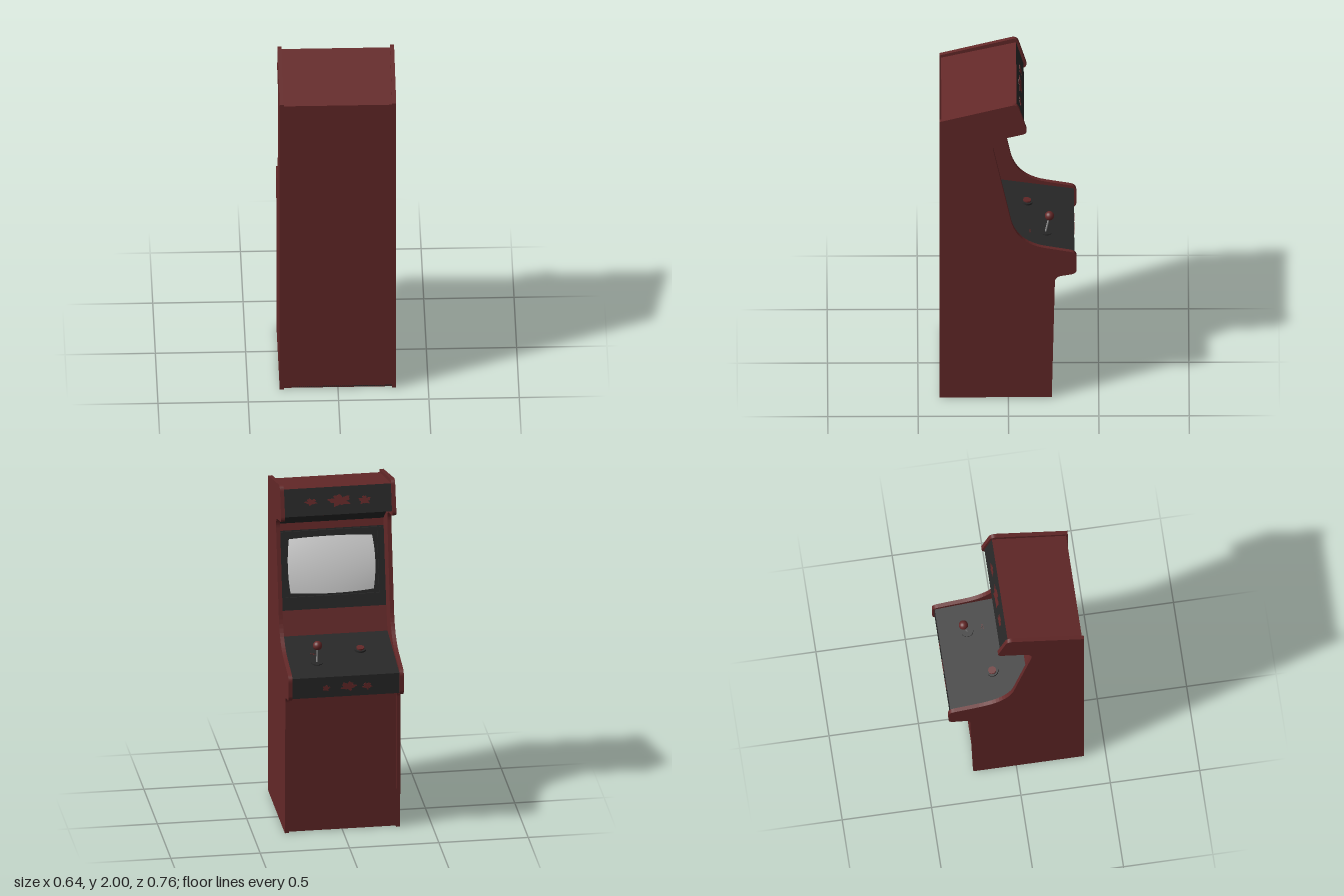
import * as THREE from 'three';

const paint = (name, color) => Object.assign(new THREE.MeshStandardMaterial({ color }), { name });

export function createModel() {
  const red = paint('dark red', 0x642828);
  const black = paint('charcoal', 0x282828);
  const glass = paint('pale glass', 0xdedede);
  const steel = paint('steel', 0x9a9a9a);
  const root = new THREE.Group();
  root.name = 'arcadeCabinet';

  const add = (parent, name, geometry, material) => {
    const mesh = new THREE.Mesh(geometry, material);
    mesh.name = name;
    parent.add(mesh);
    return mesh;
  };

  // Side boards: outline as [z, y, corner radius]
  const outline = [
    [0.38, 0, 0], [0.38, 1.89, 0], [-0.05, 2.009, 0.035], [-0.108, 1.81, 0.03],
    [0.096, 1.755, 0.06], [-0.045, 1.054, 0.165], [-0.378, 0.99, 0.035],
    [-0.378, 0.848, 0.03], [-0.258, 0.825, 0.035], [-0.24, 0, 0],
  ];
  const side = new THREE.Shape();
  outline.forEach(([z, y, r], i) => {
    const c = new THREE.Vector2(z, y);
    const toward = (p) => new THREE.Vector2(p[0], p[1]).sub(c).setLength(r).add(c);
    const n = outline.length;
    const a = toward(outline[(i + n - 1) % n]);
    const b = toward(outline[(i + 1) % n]);
    if (i === 0) side.moveTo(a.x, a.y);
    else side.lineTo(a.x, a.y);
    if (r) side.quadraticCurveTo(c.x, c.y, b.x, b.y);
  });
  const sideGeometry = new THREE.ExtrudeGeometry(side, { depth: 0.0225, bevelEnabled: false, curveSegments: 12 });
  sideGeometry.rotateY(-Math.PI / 2);
  add(root, 'leftSide', sideGeometry, red).position.x = 0.3225;
  add(root, 'rightSide', sideGeometry, red).position.x = -0.3;

  // Panels between the sides: each runs from its [z, y] to the next one
  const run = [
    ['lowerFront', -0.228, 0.003, red], ['controlUnderside', -0.245, 0.825, black],
    ['controlFront', -0.365, 0.855, black], ['controlTop', -0.365, 0.975, black],
    ['belowScreen', 0.08, 1.045, red], ['bezel', 0.126, 1.18, black],
    ['aboveScreen', 0.222, 1.62, red], ['speakerPanel', 0.231, 1.66, black],
    ['marqueeUnderside', 0.07, 1.785, red], ['marqueeFront', -0.087, 1.83, black],
    ['roof', -0.045, 1.98, red], ['back', 0.37, 1.875, red], ['floor', 0.37, 0.003, black],
  ];
  const panels = {};
  const thick = 0.01;
  run.forEach(([name, z, y, material], i) => {
    const [, z2, y2] = run[(i + 1) % run.length];
    // Group's +y faces out of the cabinet, +z runs along the panel
    const panel = new THREE.Group();
    panel.name = name;
    panel.position.set(0, (y + y2) / 2, (z + z2) / 2);
    panel.rotation.x = Math.atan2(y - y2, z2 - z);
    const length = Math.hypot(z2 - z, y2 - y);
    add(panel, name + 'Board', new THREE.BoxGeometry(0.6, thick, length), material).position.y = -thick / 2;
    root.add(panel);
    panels[name] = panel;
  });

  // Raised screen frame
  const rect = (Type, w, h) => new Type([[-w, -h], [w, -h], [w, h], [-w, h]].map(([x, y]) => new THREE.Vector2(x, y)));
  const frame = rect(THREE.Shape, 0.285, 0.195);
  frame.holes.push(rect(THREE.Path, 0.262, 0.175));
  const frameGeometry = new THREE.ExtrudeGeometry(frame, { depth: 0.012, bevelEnabled: false });
  frameGeometry.rotateX(-Math.PI / 2);
  add(panels.bezel, 'screenFrame', frameGeometry, black).position.z = 0.024;

  // Bulging screen with bowed edges
  const screen = new THREE.PlaneGeometry(2, 2, 16, 12);
  const p = screen.attributes.position;
  for (let i = 0; i < p.count; i++) {
    const x = p.getX(i), y = p.getY(i);
    p.setXYZ(i, 0.245 * x * (1 - 0.05 * y * y), 0.162 * y * (1 - 0.06 * x * x),
      0.003 + 0.025 * (1 - x * x * 0.5 - y * y * 0.5));
  }
  screen.rotateX(-Math.PI / 2);
  screen.computeVertexNormals();
  add(panels.bezel, 'screen', screen, glass).position.z = 0.024;

  // Abstract painted splashes
  const splash = (panel, x, along, w, h, seed) => {
    const points = [];
    for (let i = 0; i < 28; i++) {
      const a = (i / 28) * Math.PI * 2;
      const r = 0.75 + 0.16 * Math.sin(5 * a + seed) + 0.14 * Math.sin(9 * a + seed * 2);
      points.push(new THREE.Vector2(Math.cos(a) * w * r, Math.sin(a) * h * r));
    }
    const g = new THREE.ExtrudeGeometry(new THREE.Shape(points), { depth: 0.002, bevelEnabled: false });
    g.rotateX(-Math.PI / 2);
    add(panel, 'paintedSplash', g, red).position.set(x, 0, along);
  };
  [[0.15, 0, 0.04, 0.022], [-0.01, 0, 0.075, 0.038], [-0.15, -0.005, 0.04, 0.028]]
    .forEach(([x, s, w, h], i) => splash(panels.marqueeFront, x, s, w, h, i + 1));
  [[0.11, -0.005, 0.024, 0.02], [-0.015, 0, 0.05, 0.03], [-0.12, -0.005, 0.03, 0.024]]
    .forEach(([x, s, w, h], i) => splash(panels.controlFront, x, s, w, h, i + 4));

  // Joystick
  const deck = panels.controlTop;
  const disc = (name, r, h, x, along, material) =>
    add(deck, name, new THREE.CylinderGeometry(r, r, h, 32), material).position.set(x, h / 2, along);
  disc('joystickBase', 0.034, 0.005, 0.138, -0.065, black);
  const foot = new THREE.Vector3(0.138, 1.0, -0.206);
  const tip = new THREE.Vector3(0.138, 1.11, -0.228);
  add(root, 'joystickShaft', new THREE.TubeGeometry(new THREE.LineCurve3(foot, tip), 1, 0.005, 12), steel);
  add(root, 'joystickBall', new THREE.SphereGeometry(0.026, 24, 16), red).position.copy(tip);

  // Push button and small deck markings
  disc('buttonRing', 0.033, 0.01, -0.12, 0.04, black);
  disc('button', 0.022, 0.018, -0.12, 0.04, red);
  for (let i = 0; i < 8; i++) {
    add(deck, 'deckMark', new THREE.BoxGeometry(0.005, 0.002, 0.003), red)
      .position.set(0.136 + (i % 4) * 0.008, 0.001, 0.018 + Math.floor(i / 4) * 0.008);
  }
  return root;
}
